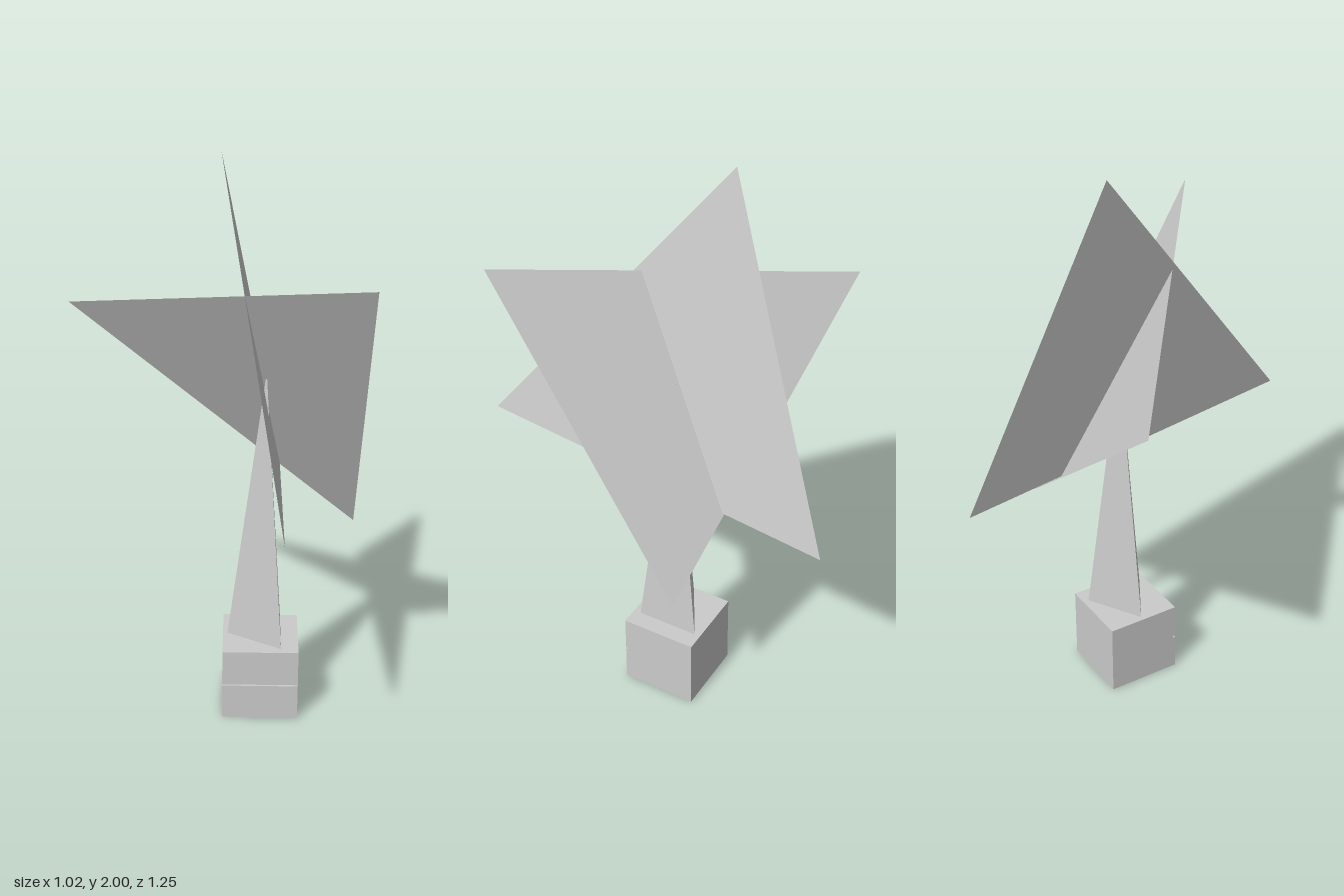
import * as THREE from 'three';

const sheetMaterial = new THREE.MeshStandardMaterial({ color: 0xcccccc, flatShading: true, side: THREE.DoubleSide });
const solidMaterial = new THREE.MeshStandardMaterial({ color: 0xcccccc, flatShading: true });

// Thin triangular sheet through three corners
function triangleSheet(name, corners) {
  const geometry = new THREE.BufferGeometry();
  geometry.setAttribute('position', new THREE.Float32BufferAttribute(corners.flat(), 3));
  geometry.computeVertexNormals();
  const mesh = new THREE.Mesh(geometry, sheetMaterial);
  mesh.name = name;
  return mesh;
}

export function createModel() {
  const model = new THREE.Group();
  model.name = 'sculpture';

  // Base block: side profile (z, y) with a fine groove across the front
  const profile = new THREE.Shape([
    [-0.19, 0], [0.08, 0], [0.08, 0.132], [0.072, 0.132], [0.072, 0.139],
    [0.08, 0.139], [0.08, 0.27], [-0.19, 0.27],
  ].map(([z, y]) => new THREE.Vector2(-z, y)));
  const width = 0.27;
  const blockGeometry = new THREE.ExtrudeGeometry(profile, { depth: width, bevelEnabled: false });
  blockGeometry.rotateY(Math.PI / 2);
  const block = new THREE.Mesh(blockGeometry, solidMaterial);
  block.name = 'baseBlock';
  block.position.x = 0.043;
  model.add(block);

  // Three-sided spike with one corner pointing to -x
  const spikeHeight = 1.01;
  const spikeGeometry = new THREE.ConeGeometry(0.128, spikeHeight, 3);
  spikeGeometry.rotateY(-Math.PI / 2);
  const spike = new THREE.Mesh(spikeGeometry, solidMaterial);
  spike.name = 'spike';
  spike.position.set(0.187, 0.27 + spikeHeight / 2, -0.057);
  model.add(spike);

  // Two large sheets crossing each other at the spike's tip
  model.add(
    triangleSheet('wideSheet', [[-0.51, 1.417, -0.375], [0.51, 0.643, -0.233], [0.51, 1.717, 0.417]]),
    triangleSheet('uprightSheet', [[0.03, 2, -0.183], [0.241, 0.97, 0.624], [0.241, 0.808, -0.624]]),
  );
  return model;
}
